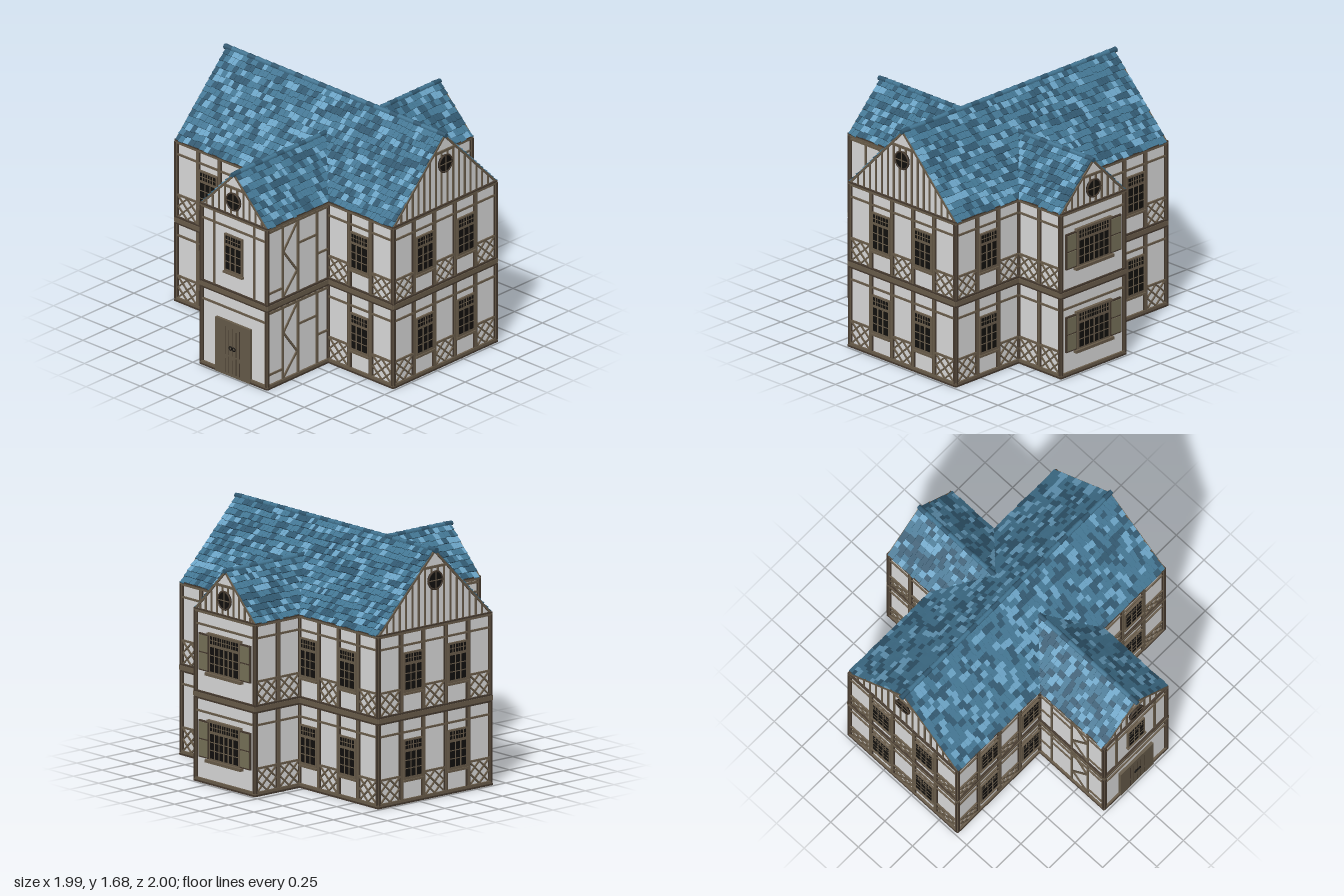
import * as THREE from 'three';
import { mergeGeometries } from 'three/addons/utils/BufferGeometryUtils.js';

const M = 0.194;      // wall module width
const EAVE = 1.16;    // wall height
const STOREY = 0.585; // offset of the upper storey
const HALF = Math.PI / 2;

const mat = (name, color, side = THREE.FrontSide) => {
  const m = new THREE.MeshStandardMaterial({ color, side });
  m.name = name;
  return m;
};

export function createModel() {
  const plaster = mat('plaster', 0xdcdcdc, THREE.DoubleSide);
  const timber = mat('timber', 0x6a5d4b);
  const darkTimber = mat('darkTimber', 0x463a2f);
  const glass = mat('glass', 0x12100e);
  const doorWood = mat('doorWood', 0x665b49);
  const shutterPaint = mat('shutterPaint', 0x777259);
  const roofBase = mat('roofBase', 0x233f50, THREE.DoubleSide);
  const tileMats = [mat('tileDark', 0x315870), mat('tileMid', 0x437693), mat('tileLight', 0x6aa2c4)];

  const model = new THREE.Group();
  model.name = 'timberHouse';

  let seed = 7;
  const rnd = () => (seed = (seed * 16807) % 2147483647) / 2147483647;

  // Collects geometry by material and merges it into a named group
  function part(name) {
    const buckets = new Map();
    const p = {
      add(geo, m) {
        if (!buckets.has(m)) buckets.set(m, []);
        buckets.get(m).push(geo.index ? geo.toNonIndexed() : geo);
      },
      // box from centre u, bottom y0 to top y1, from depth back to front
      box(m, u, w, y0, y1, front, back = -0.004) {
        p.add(new THREE.BoxGeometry(w, y1 - y0, front - back).translate(u, (y0 + y1) / 2, (front + back) / 2), m);
      },
      // straight brace between two points on the wall
      bar(m, ax, ay, bx, by, w, d = 0.009) {
        const len = Math.hypot(bx - ax, by - ay);
        p.add(new THREE.BoxGeometry(len, w, d).rotateZ(Math.atan2(by - ay, bx - ax))
          .translate((ax + bx) / 2, (ay + by) / 2, d / 2), m);
      },
      build(x = 0, z = 0, rot = 0) {
        const g = new THREE.Group();
        g.name = name;
        for (const [m, list] of buckets) {
          const mesh = new THREE.Mesh(mergeGeometries(list), m);
          mesh.name = name + '_' + m.name;
          g.add(mesh);
        }
        g.position.set(x, 0, z);
        g.rotation.y = rot;
        model.add(g);
      }
    };
    return p;
  }

  // Leaded window: tall lower panes and a fine top light
  function windowUnit(p, u, y, w, cols) {
    const gw = w - 0.03;
    p.box(timber, u, w, y, y + 0.28, 0.014, -0.012);
    p.box(timber, u, w + 0.012, y - 0.004, y + 0.01, 0.022, -0.012);
    p.box(glass, u, gw, y + 0.03, y + 0.195, 0.016, -0.014);
    p.box(glass, u, gw, y + 0.215, y + 0.268, 0.016, -0.014);
    for (let i = 1; i < cols; i++)
      p.box(timber, u - gw / 2 + gw * i / cols, 0.008, y + 0.03, y + 0.195, 0.019, -0.016);
    for (const k of [0.085, 0.14]) p.box(timber, u, gw, y + k - 0.003, y + k + 0.003, 0.018, -0.015);
    for (let i = 1; i < cols * 2; i++)
      p.box(timber, u - gw / 2 + gw * i / (cols * 2), 0.005, y + 0.215, y + 0.268, 0.018, -0.015);
    p.box(timber, u, gw, y + 0.239, y + 0.244, 0.018, -0.015);
  }

  // Plaster panel above a lattice of crossed braces
  function lattice(p, u, s) {
    const a = u - M / 2 + 0.016, b = u + M / 2 - 0.016, y0 = s + 0.03, y1 = s + 0.18, ym = (y0 + y1) / 2;
    p.box(timber, u, M, y1, y1 + 0.013, 0.011);
    const lines = [[a, y0, b, y1], [a, y1, b, y0], [a, ym, u, y1], [u, y1, b, ym], [b, ym, u, y0], [u, y0, a, ym]];
    for (const l of lines) p.bar(timber, ...l, 0.01);
  }

  function post(p, u, s) {
    p.box(darkTimber, u, 0.034, s + 0.02, s + 0.565, 0.008);
    p.box(timber, u, 0.02, s + 0.02, s + 0.565, 0.012);
  }

  // Triangular gable with battens, collar and round window
  function gable(p, W, rise, collar, roundY) {
    const h = W / 2, c = h;
    const tri = new THREE.Shape([new THREE.Vector2(0, EAVE), new THREE.Vector2(W, EAVE), new THREE.Vector2(c, EAVE + rise)]);
    p.add(new THREE.ShapeGeometry(tri), plaster);
    for (let d = 0.0275; d < h - 0.03; d += 0.055)
      for (const s of [-1, 1])
        p.box(timber, c + s * d, 0.012, EAVE, Math.min(EAVE + (h - d) * rise / h - 0.01, collar), 0.008);
    p.box(timber, c, (EAVE + rise - collar) * 2 * h / rise, collar - 0.008, collar + 0.008, 0.011);
    for (const s of [-1, 1]) p.bar(timber, c + s * h, EAVE, c, EAVE + rise - 0.005, 0.014);
    const disc = (r, d) => new THREE.CylinderGeometry(r, r, d, 24).rotateX(HALF).translate(c, roundY, 0.004);
    p.add(disc(0.06, 0.022), glass);
    p.add(new THREE.TorusGeometry(0.06, 0.007, 6, 24).translate(c, roundY, 0.013), darkTimber);
    p.box(timber, c, 0.006, roundY - 0.06, roundY + 0.06, 0.018);
    p.box(timber, c, 0.12, roundY - 0.003, roundY + 0.003, 0.018);
  }

  // Wall starting at its left end seen from outside; L = lattice bay, W = window bay
  function wall(name, x, z, rot, bays, extra, framed = true) {
    const p = part(name), n = bays.length, W = n * M, c = W / 2;
    p.add(new THREE.PlaneGeometry(W, EAVE).translate(c, EAVE / 2, 0), plaster);
    p.box(darkTimber, c, W + 0.02, 0, 0.012, 0.016);
    p.box(timber, c, W + 0.02, 0.012, 0.03, 0.014);
    p.box(darkTimber, c, W + 0.02, 0.56, 0.615, 0.013);
    p.box(timber, c, W + 0.022, 0.573, 0.604, 0.017);
    p.box(timber, c, W + 0.02, 1.142, 1.158, 0.014);
    p.box(darkTimber, c, W + 0.02, 1.158, 1.166, 0.014);
    for (const s of [0, STOREY]) {
      for (let i = 0; i <= n; i++) if (framed || i === 0 || i === n) post(p, i * M, s);
      if (framed || extra !== sideFraming) p.box(timber, c, W, s + 0.472, s + 0.485, 0.01);
      [...bays].forEach((b, i) => {
        const u = (i + 0.5) * M;
        if (b === 'L') lattice(p, u, s);
        if (b === 'W') windowUnit(p, u, s + 0.15, 0.166, 3);
      });
    }
    if (extra) extra(p, W);
    p.build(x, z, rot);
  }

  // Entrance front of the cross wing
  function entrance(p, W) {
    const c = W / 2;
    gable(p, W, 0.3, 1.36, 1.265);
    windowUnit(p, c, 0.735, 0.16, 3);
    for (const u of [0.112, W - 0.112]) p.box(timber, u, 0.015, 0.615, 1.142, 0.009);
    p.box(doorWood, c, 0.31, 0, 0.39, 0.02, -0.01);
    for (let i = -2; i <= 2; i++) {
      p.box(darkTimber, c + i * 0.032, 0.004, 0.02, 0.12 + 0.02 * (i & 1), 0.022);
      p.box(darkTimber, c + i * 0.032, 0.004, 0.15, 0.35 - 0.02 * (i & 1), 0.022);
    }
    for (const s of [-1, 1])
      p.add(new THREE.TorusGeometry(0.012, 0.004, 6, 14).translate(c + s * 0.015, 0.205, 0.024), glass);
  }

  // Braced framing on the long sides of the entrance wing
  function sideFraming(p, W, mirror = false) {
    const f = u => (mirror ? W - u : u);
    for (const s of [0, STOREY]) {
      p.box(timber, W / 2, W, s + 0.535, s + 0.55, 0.01);
      for (let i = 1; i < 9; i++) p.box(timber, i * W / 9, 0.012, s + 0.545, s + 0.57, 0.01);
      for (const u of [0.145, 0.29, 0.47]) p.box(timber, f(u), 0.015, s + 0.03, s + 0.54, 0.009);
      const braces = [[0.28, 0.53, 0.15, 0.36], [0.15, 0.36, 0.28, 0.185], [0.28, 0.185, 0.145, 0.03],
        [0.01, 0.1, 0.145, 0.1], [0.29, 0.375, 0.47, 0.375], [0.47, 0.235, 0.57, 0.235]];
      for (const [a, b, c, d] of braces) p.bar(timber, f(a), s + b, f(c), s + d, 0.014);
    }
  }
  const sideFramingMirrored = (p, W) => sideFraming(p, W, true);

  // Rear front with wide shuttered windows
  function shuttered(p, W) {
    const c = W / 2;
    gable(p, W, 0.3, 1.36, 1.265);
    for (const s of [0, STOREY]) {
      windowUnit(p, c, s + 0.15, 0.3, 6);
      p.box(timber, c, 0.35, s + 0.148, s + 0.168, 0.03);
      p.box(timber, c, 0.33, s + 0.42, s + 0.436, 0.022);
      for (const k of [-1, 1]) {
        const u = c + k * 0.205;
        p.box(darkTimber, u, 0.1, s + 0.17, s + 0.42, 0.014);
        for (const y of [0.18, 0.3]) p.box(shutterPaint, u, 0.082, s + y, s + y + 0.11, 0.018);
      }
    }
  }

  const X = 5 * M, Z1 = 2 * M, Z0 = -3 * M, XL = -M, XR = 2 * M;
  const mainGable = (p, W) => gable(p, W, 0.5, 1.55, 1.46);
  wall('frontWallRightSide', -X, Z1, 0, 'LWLW');
  wall('frontWallLeftSide', XR, Z1, 0, 'LWL');
  wall('entranceFront', XL, X, 0, '---', entrance, false);
  wall('entranceWingLeft', XR, X, HALF, '---', sideFraming, false);
  wall('entranceWingRight', XL, Z1, -HALF, '---', sideFramingMirrored, false);
  wall('mainGableLeft', X, Z1, HALF, 'LWLWL', mainGable);
  wall('mainGableRight', -X, Z0, -HALF, 'LWLWL', mainGable);
  wall('backWallLeftSide', X, Z0, Math.PI, 'LWL');
  wall('backWallRightSide', XL, Z0, Math.PI, 'WLWL');
  wall('rearWingLeft', XR, Z0, HALF, 'LL');
  wall('rearWingRight', XL, -X, -HALF, 'LL');
  wall('rearWingFront', XR, -X, Math.PI, '---', shuttered, false);

  // Roof slopes covered with uneven tiles; tiles buried under the other roof are left out
  const mainY = v => EAVE + (0.485 - Math.abs(v.z + 0.097)) * 0.5 / 0.485;
  const wingY = v => EAVE + (0.291 - Math.abs(v.x - 0.097)) * 0.3 / 0.291;
  function slope(name, cx, cz, rot, h, rise, L, otherY) {
    const p = part(name), len = Math.hypot(h, rise), rows = Math.round(len / 0.046), pitch = Math.atan2(rise, h);
    p.add(new THREE.PlaneGeometry(L, len).rotateX(pitch - HALF).translate(0, EAVE + rise / 2, h / 2), roofBase);
    const v = new THREE.Vector3(), up = new THREE.Vector3(0, 1, 0);
    for (let r = 0; r < rows; r++) {
      for (let u = -L / 2; u < L / 2 - 0.012;) {
        const w = Math.min(0.028 + rnd() * 0.026, L / 2 - u);
        const t = (r + 0.5 + (rnd() - 0.5) * 0.22) / rows;
        const y = EAVE + rise * t, z = h * (1 - t), pick = rnd();
        v.set(u + w / 2, y, z).applyAxisAngle(up, rot).add(new THREE.Vector3(cx, 0, cz));
        if (otherY(v) < y + 0.015) {
          const tile = new THREE.BoxGeometry(w - 0.002, 0.062, 0.009)
            .rotateX(-0.13 - rnd() * 0.06).rotateZ((rnd() - 0.5) * 0.1)
            .translate(0, 0, 0.007).rotateX(pitch - HALF).translate(u + w / 2, y, z);
          p.add(tile, tileMats[pick < 0.3 ? 0 : pick < 0.8 ? 1 : 2]);
        }
        u += w;
      }
    }
    p.build(cx, cz, rot);
  }
  for (const rot of [0, Math.PI]) slope('mainRoofSlope', 0, -0.097, rot, 0.485, 0.5, 1.95, wingY);
  for (const rot of [HALF, -HALF]) slope('wingRoofSlope', 0.097, 0, rot, 0.291, 0.3, 1.95, mainY);

  // Ridge caps, running along local x
  function ridge(name, from, to, y, x, z, rot) {
    const p = part(name), n = Math.round((to - from) / 0.07), step = (to - from) / n;
    for (let i = 0; i < n; i++)
      p.add(new THREE.CylinderGeometry(0.02, 0.016, step, 8).rotateZ(HALF)
        .translate(from + (i + 0.5) * step, y, 0), tileMats[i % 3 ? 1 : 0]);
    p.build(x, z, rot);
  }
  ridge('mainRidge', -0.995, 0.99, EAVE + 0.502, 0, -0.097, 0);
  ridge('entranceRidge', 0.1, 0.995, EAVE + 0.302, 0.097, 0, -HALF);
  ridge('rearRidge', 0.29, 0.985, EAVE + 0.302, 0.097, 0, HALF);
  return model;
}
